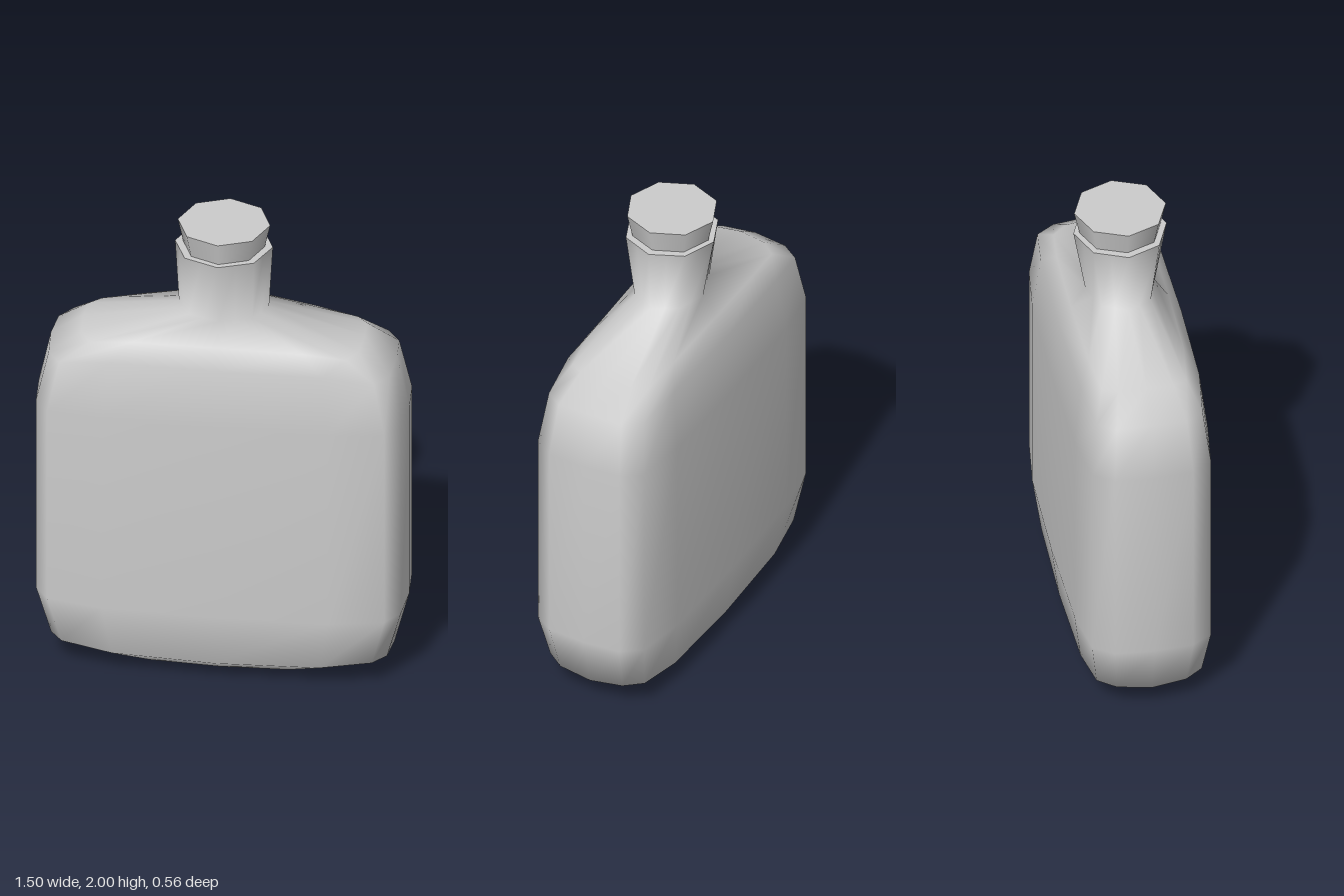
import * as THREE from 'three';

const material = new THREE.MeshStandardMaterial({ color: 0xcccccc });

// Mirror a quarter section (front middle -> side middle) into a closed 16-point ring
function fullRing(quarter) {
  const ring = [];
  for (let j = 0; j < 16; j++) {
    const k = j <= 4 ? j : j <= 8 ? 8 - j : j <= 12 ? j - 8 : 16 - j;
    const [x, y, z] = quarter[k];
    ring.push([j > 8 ? -x : x, y, j > 4 && j < 12 ? -z : z]);
  }
  return ring;
}

// Skin a stack of rings
function loft(name, quarters) {
  const position = quarters.flatMap(q => fullRing(q).flat());
  const index = [];
  for (let r = 0; r < quarters.length - 1; r++) {
    for (let j = 0; j < 16; j++) {
      const a = r * 16 + j, b = r * 16 + (j + 1) % 16;
      index.push(a, b, b + 16, a, b + 16, a + 16);
    }
  }
  const geometry = new THREE.BufferGeometry();
  geometry.setAttribute('position', new THREE.Float32BufferAttribute(position, 3));
  geometry.setIndex(index);
  geometry.computeVertexNormals();
  const mesh = new THREE.Mesh(geometry, material);
  mesh.name = name;
  return mesh;
}

// Rounded oblong section; ys runs from front middle over the corner to side middle
const outline = [[0, 1], [0.61, 0.97], [0.91, 0.865], [0.985, 0.57], [1, 0]];
const oblong = (w, d, ys) => outline.map(([x, z], i) => [x * w, ys[i] ?? ys[0], z * d]);

// Eight-sided section with points on the axes; the odd points halve its edges
function octagon(w, d, y) {
  const c = Math.SQRT1_2, p = [[0, 1], [c, c], [1, 0]];
  const mid = (a, b) => [(a[0] + b[0]) / 2, (a[1] + b[1]) / 2];
  return [p[0], mid(p[0], p[1]), p[1], mid(p[1], p[2]), p[2]]
    .map(([x, z]) => [x * w, y, z * d]);
}

export function createModel() {
  const group = new THREE.Group();
  group.name = 'flask';

  // Base, walls, shoulders and neck in one smooth skin
  group.add(loft('body', [
    oblong(0, 0, [0.005]),
    oblong(0.46, 0.16, [0.02, 0.025, 0.035, 0.03, 0.03]),
    oblong(0.69, 0.248, [0.085, 0.095, 0.12, 0.115, 0.1]),
    oblong(0.75, 0.28, [0.32, 0.32, 0.33, 0.33, 0.33]),
    oblong(0.75, 0.28, [1.2]),
    oblong(0.7, 0.25, [1.45, 1.45, 1.42, 1.42, 1.43]),
    oblong(0.57, 0.2, [1.53, 1.525, 1.5, 1.51, 1.52]),
    octagon(0.182, 0.142, 1.62),
    octagon(0.198, 0.19, 1.9),
  ]));

  // Flat rim around the mouth
  group.add(loft('rim', [octagon(0.198, 0.19, 1.9), octagon(0.15, 0.15, 1.9)]));

  // Flared stopper
  const stopper = new THREE.Mesh(new THREE.CylinderGeometry(0.187, 0.163, 0.11, 8), material);
  stopper.name = 'stopper';
  stopper.position.y = 1.945;
  group.add(stopper);

  return group;
}
